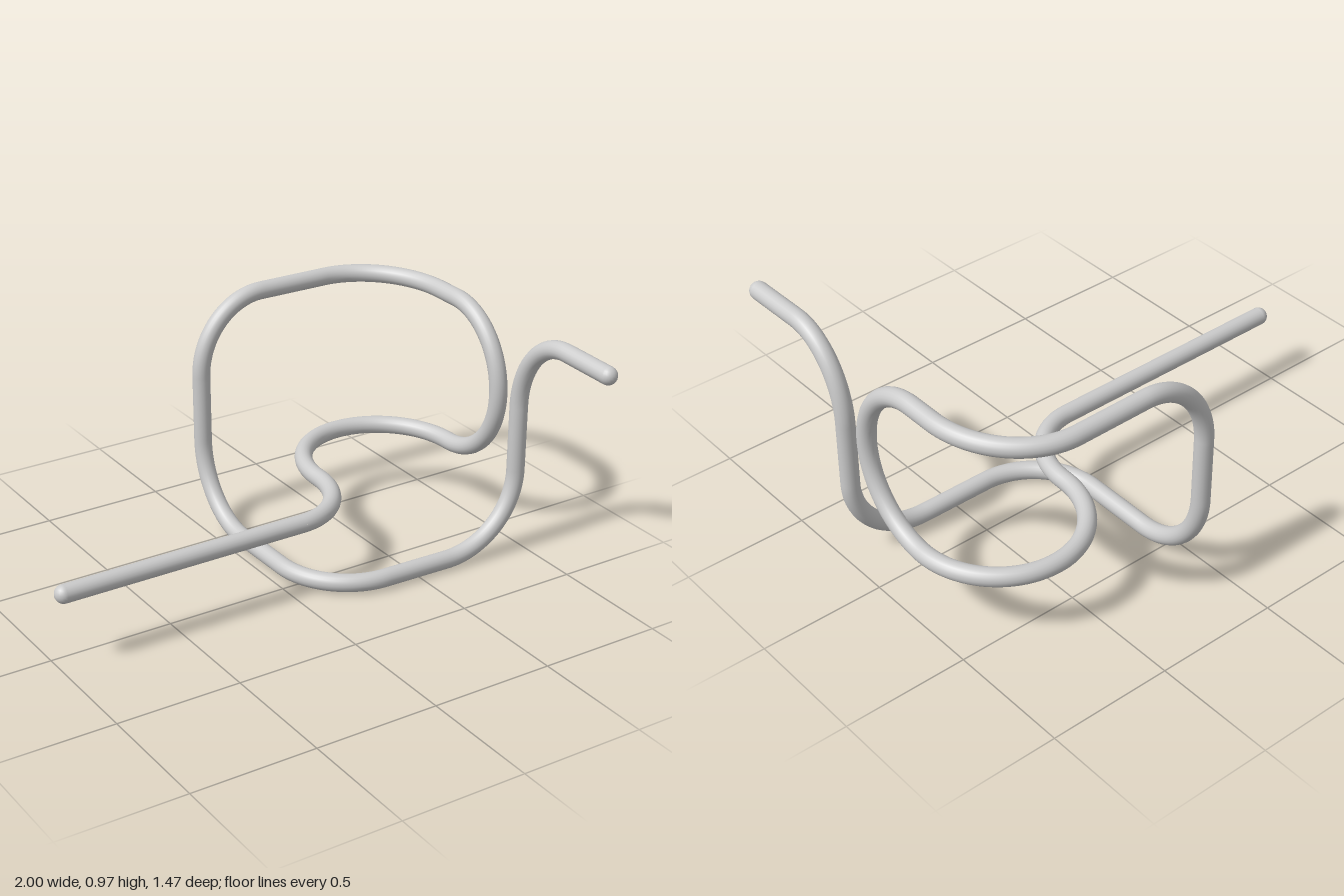
import * as THREE from 'three';

const R = 0.036;
const V = (p) => new THREE.Vector3(...p);

// Rounded bends of the wire: start, corner control, end; straight runs join them
const bends = [
  [[0.05, 0.3, 0.06], [0.32, 0.3, 0.06], [0.32, 0.3, -0.24]],
  [[0.32, 0.3, -0.24], [0.32, 0.3, -0.58], [0.635, 0.3, -0.58]],
  [[0.635, 0.3, -0.58], [0.96, 0.3, -0.58], [0.96, 0.3, -0.24]],
  [[0.96, 0.3, -0.24], [0.96, 0.3, 0.07], [0.96, 0.62, 0.07]],
  [[0.96, 0.62, 0.07], [0.96, 0.935, 0.07], [0.96, 0.935, -0.22]],
  [[0.96, 0.935, -0.33], [0.96, 0.935, -0.7], [0.64, 0.935, -0.7]],
  [[0.34, 0.938, -0.7], [0.06, 0.938, -0.7], [0.06, 0.63, -0.7]],
  [[0.06, 0.36, -0.695], [0.06, 0.04, -0.695], [0.06, 0.04, -0.39]],
  [[0.06, 0.043, -0.1], [0.06, 0.043, 0.197], [0.35, 0.043, 0.197]],
  [[0.64, 0.04, 0.2], [0.96, 0.04, 0.2], [0.96, 0.35, 0.2]],
  [[0.96, 0.62, 0.2], [0.96, 0.938, 0.2], [0.96, 0.938, 0.46]],
];
const wireEnd = [0.96, 0.933, 0.7];
const handleEnd = [-0.964, 0.3, 0.06];

function wirePath() {
  const path = new THREE.CurvePath();
  const k = 0.5523;
  let last = null;
  const lineTo = (p) => {
    if (last && last.distanceTo(p) > 0.001) path.add(new THREE.LineCurve3(last, p));
  };
  for (const [s, c, e] of bends) {
    const a = V(s), m = V(c), b = V(e);
    lineTo(a);
    path.add(new THREE.CubicBezierCurve3(a, a.clone().lerp(m, k), b.clone().lerp(m, k), b));
    last = b;
  }
  lineTo(V(wireEnd));
  return path;
}

export function createModel() {
  const group = new THREE.Group();
  const material = new THREE.MeshStandardMaterial({ color: 0xcccccc });
  const add = (name, geometry, position) => {
    const mesh = new THREE.Mesh(geometry, material);
    mesh.name = name;
    if (position) mesh.position.set(...position);
    group.add(mesh);
    return mesh;
  };

  // Bent wire loop
  add('bentWire', new THREE.TubeGeometry(wirePath(), 400, R, 20, false));

  // Straight handle
  const length = bends[0][0][0] - handleEnd[0];
  const handle = add('handle', new THREE.CylinderGeometry(R, R, length, 20),
    [handleEnd[0] + length / 2, handleEnd[1], handleEnd[2]]);
  handle.rotation.z = Math.PI / 2;

  // Rounded tips
  const tip = new THREE.SphereGeometry(R, 20, 12);
  add('handleTip', tip, handleEnd);
  add('wireTip', tip, wireEnd);

  return group;
}
